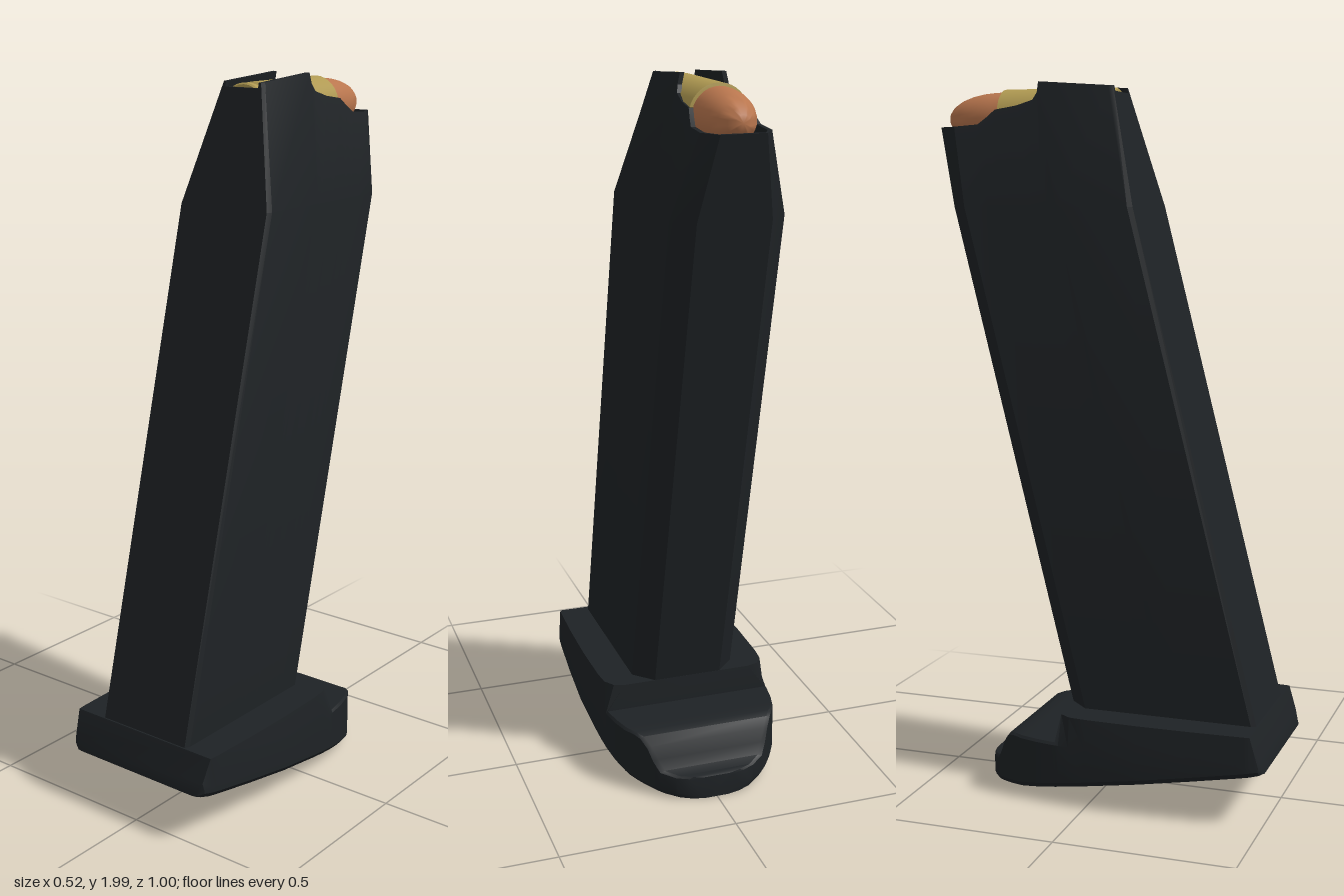
import * as THREE from 'three';
import { toCreasedNormals } from 'three/addons/utils/BufferGeometryUtils.js';

const lerp = THREE.MathUtils.lerp;

// Skin a stack of closed loops with equal point counts, capped at both ends.
function loft(rings, crease = 0.4) {
  const n = rings[0].length;
  const tris = [];
  for (let r = 0; r < rings.length - 1; r++) {
    for (let i = 0; i < n; i++) {
      const j = (i + 1) % n;
      const a = rings[r][i], b = rings[r][j], c = rings[r + 1][j], d = rings[r + 1][i];
      tris.push([a, b, c], [a, c, d]);
    }
  }
  const cap = (ring, flip) => {
    const mid = ring.reduce((s, p) => s.add(p), new THREE.Vector3()).divideScalar(n);
    ring.forEach((p, i) => {
      const q = ring[(i + 1) % n];
      tris.push(flip ? [mid, q, p] : [mid, p, q]);
    });
  };
  cap(rings[0], true);
  cap(rings[rings.length - 1], false);
  // A negative volume means the faces point inward: turn them around
  const cross = new THREE.Vector3();
  const volume = tris.reduce((s, [a, b, c]) => s + a.dot(cross.crossVectors(b, c)), 0);
  const points = tris.flatMap(([a, b, c]) => (volume < 0 ? [a, c, b] : [a, b, c]));
  const geo = new THREE.BufferGeometry().setFromPoints(points);
  return toCreasedNormals(geo, crease);
}

// Leaning side profile and tapering width of the tube
const front = (y) => 0.46 - (y - 0.26) * 0.256;
const rear = (y) => -0.09 - (y - 0.26) * 0.25;
function halfWidth(y) {
  if (y < 1.66) return 0.153;
  if (y < 1.96) return lerp(0.153, 0.071, (y - 1.66) / 0.3);
  return lerp(0.071, 0.062, (y - 1.96) / 0.04);
}

// Half outline from front centre to rear centre: width share, depth share, rim height
const OUTLINE = [
  [0, 0, 1.97], [0.8, 0, 1.97], [0.84, 0, 1.985], [0.95, 0, 1.985], [1, 0.025, 1.985],
  [1, 0.398, 2.0], [1, 0.415, 1.97], [1, 0.445, 1.95], [1, 0.539, 1.935], [1, 0.66, 1.925],
  [1, 0.71, 1.905], [1, 0.767, 1.885], [1, 0.9, 1.88], [0.65, 1, 1.88], [0, 1, 1.88],
];

// One loop of the tube; without a height it follows the rim
function tubeRing(height, inset = 0) {
  const half = OUTLINE.map(([u, t, rim]) => {
    const y = height ?? rim;
    const z = lerp(front(y), rear(y), t);
    return new THREE.Vector3(
      Math.min(u * halfWidth(y), Math.max(halfWidth(y) - inset, 0)),
      y,
      THREE.MathUtils.clamp(z, rear(y) + inset, front(y) - inset),
    );
  });
  const mirrored = half.slice(1, -1).reverse().map((p) => new THREE.Vector3(-p.x, p.y, p.z));
  return [...half, ...mirrored];
}

// Base plate stations: z, half width, top half width, top height, recess depth
const PLATE = [
  [0.5, 0.215, 0.21, 0.156, 0],
  [0.488, 0.236, 0.23, 0.19, 0],
  [0.465, 0.245, 0.24, 0.258, 0],
  [0.45, 0.247, 0.242, 0.258, 0],
  [0.43, 0.249, 0.243, 0.258, 0.05],
  [0.3, 0.257, 0.248, 0.258, 0.06],
  [0.15, 0.262, 0.25, 0.258, 0.06],
  [0, 0.257, 0.247, 0.258, 0.06],
  [-0.05, 0.254, 0.242, 0.258, 0.06],
  [-0.08, 0.251, 0.222, 0.258, 0.06],
  [-0.09, 0.25, 0.19, 0.258, 0.06],
  [-0.092, 0.25, 0.245, 0.182, 0.06],
  [-0.15, 0.24, 0.234, 0.182, 0.06],
  [-0.2, 0.226, 0.22, 0.182, 0.06],
  [-0.23, 0.209, 0.2, 0.18, 0.05],
  [-0.25, 0.196, 0.186, 0.174, 0],
  [-0.27, 0.181, 0.17, 0.15, 0],
  [-0.285, 0.169, 0.155, 0.115, 0],
  [-0.302, 0.153, 0.14, 0.085, 0],
  [-0.33, 0.115, 0.105, 0.077, 0],
  [-0.344, 0.08, 0.07, 0.075, 0],
  [-0.35, 0.045, 0.04, 0.072, 0],
];
const SLOPE = 0.1715;
const bottom = (z) => 0.148 - (0.5 - z) * SLOPE + 0.003;

function plateRing([z, w, topW, top, depth]) {
  const b = bottom(z);
  const edge = Math.min(0.015, (top - b) / 3);
  const shoulder = Math.max(Math.min(top - 0.005, 0.175), b + edge);
  const rim = Math.max(w - 0.05, 0.01);
  const half = [
    [topW, top], [w, shoulder], [w, b + edge], [w - 0.012, b],
    [rim, b], [Math.max(rim - 0.02, 0.005), b + depth],
  ];
  return [
    ...half.map(([x, y]) => new THREE.Vector3(x, y, z)),
    ...half.slice().reverse().map(([x, y]) => new THREE.Vector3(-x, y, z)),
  ];
}

// Turned part lying along z, pointing to the back; profile is [radius, -z]
function turned(profile, crease) {
  const geo = new THREE.LatheGeometry(profile.map(([r, d]) => new THREE.Vector2(r, d)), 32);
  return toCreasedNormals(geo.rotateX(-Math.PI / 2), crease);
}

export function createModel() {
  const group = new THREE.Group();
  const material = (color, metal = 0) => new THREE.MeshStandardMaterial({ color });
  const black = material(0x1e2225);
  const brass = material(0xb09a52);
  const copper = material(0xb9764e);
  const add = (name, geo, mat) => {
    const mesh = new THREE.Mesh(geo, mat);
    mesh.name = name;
    group.add(mesh);
    return mesh;
  };

  // Hollow tube: outside wall up to the rim, then down inside to the follower
  add('magazineBody', loft([
    tubeRing(0.23), tubeRing(1.66), tubeRing(), tubeRing(undefined, 0.012), tubeRing(1.76, 0.012),
  ]), black);

  // Base plate with stepped toe and recessed underside
  add('basePlate', loft(PLATE.map(plateRing), 0.5), black);

  // Round locking button in the recess
  const ring = new THREE.LatheGeometry(
    [[0.022, 0.03], [0.022, -0.025], [0.045, -0.025], [0.055, -0.015], [0.055, 0.03]]
      .map(([r, y]) => new THREE.Vector2(r, y)), 24);
  const button = add('lockButton', toCreasedNormals(ring, 0.5), black);
  button.material = black.clone();
  button.material.side = THREE.DoubleSide;
  button.position.set(0, bottom(0.08) + 0.05, 0.08);
  button.rotation.x = -Math.atan(SLOPE);

  // Cartridge: case with extractor groove, and rounded bullet
  const axisY = 1.904;
  add('cartridgeCase', turned([
    [0, -0.012], [0.074, -0.012], [0.078, -0.008], [0.078, 0.008], [0.068, 0.014],
    [0.068, 0.026], [0.079, 0.038], [0.08, 0.318], [0.072, 0.32], [0, 0.32],
  ], 0.5), brass).position.y = axisY;
  add('bullet', turned([
    [0.072, 0.31], [0.072, 0.345], [0.069, 0.38], [0.062, 0.415], [0.051, 0.447],
    [0.036, 0.472], [0.02, 0.486], [0, 0.49],
  ], 0.8), copper).position.y = axisY;

  return group;
}
